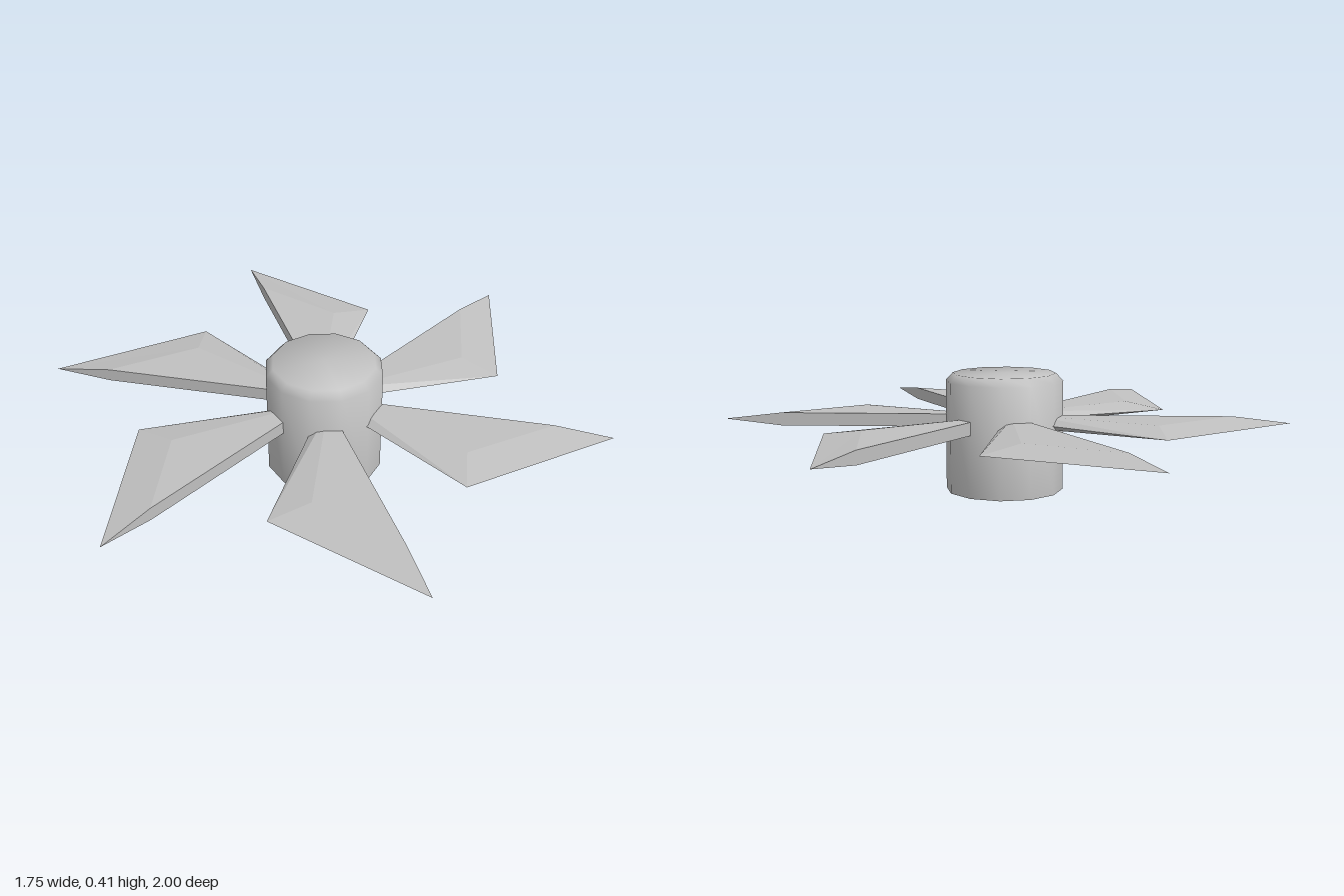
import * as THREE from 'three';
import { toCreasedNormals } from 'three/addons/utils/BufferGeometryUtils.js';

const MID = 0.243; // height of the blade's centre plane
const HALF = 0.023; // half thickness of the blade

// Blade corners in plan (x, z): thin rim points and raised plateau points
const RIM = { A: [-0.02, -1], B: [0.35, -0.55], C: [0.06, -0.1] };
const FLAT = { P: [-0.015, -0.8], Q: [0.2, -0.53], R: [0.02, -0.1], S: [0, -0.1] };

function bladeGeometry() {
  const positions = [];
  const corner = (key, side) => {
    const [x, z] = RIM[key] || FLAT[key];
    return [x, RIM[key] ? MID : MID + side * HALF, z];
  };
  const triangle = (...points) => points.forEach((p) => positions.push(...p));

  // Plateau and bevels, above and mirrored below
  for (const side of [1, -1]) {
    for (const face of ['SRQ', 'SQP', 'APQ', 'AQB', 'RCB', 'RBQ']) {
      const points = [...face].map((key) => corner(key, side));
      triangle(...(side > 0 ? points : points.reverse()));
    }
  }

  // Upright wall along the long straight edge
  const P = corner('P', 1), S = corner('S', 1);
  const P2 = corner('P', -1), S2 = corner('S', -1);
  triangle(corner('A', 1), P2, P);
  triangle(P, P2, S2);
  triangle(P, S2, S);

  const geometry = new THREE.BufferGeometry();
  geometry.setAttribute('position', new THREE.Float32BufferAttribute(positions, 3));
  geometry.computeVertexNormals();
  return geometry;
}

export function createModel() {
  const model = new THREE.Group();
  model.name = 'fan';
  const grey = new THREE.MeshStandardMaterial({ color: 0xc0c0c0 });
  grey.name = 'grey';

  // Twelve-sided hub with a chamfered top
  const profile = [[0, 0], [0.207, 0], [0.207, 0.388], [0.182, 0.415], [0, 0.415]];
  const lathe = new THREE.LatheGeometry(profile.map(([r, y]) => new THREE.Vector2(r, y)), 12);
  const hub = new THREE.Mesh(toCreasedNormals(lathe, 0.9), grey);
  hub.name = 'hub';
  model.add(hub);

  // Six identical blades around the hub
  const geometry = bladeGeometry();
  for (let i = 0; i < 6; i++) {
    const blade = new THREE.Mesh(geometry, grey);
    blade.name = `blade${i + 1}`;
    blade.rotation.y = (-i * Math.PI) / 3;
    model.add(blade);
  }
  return model;
}
